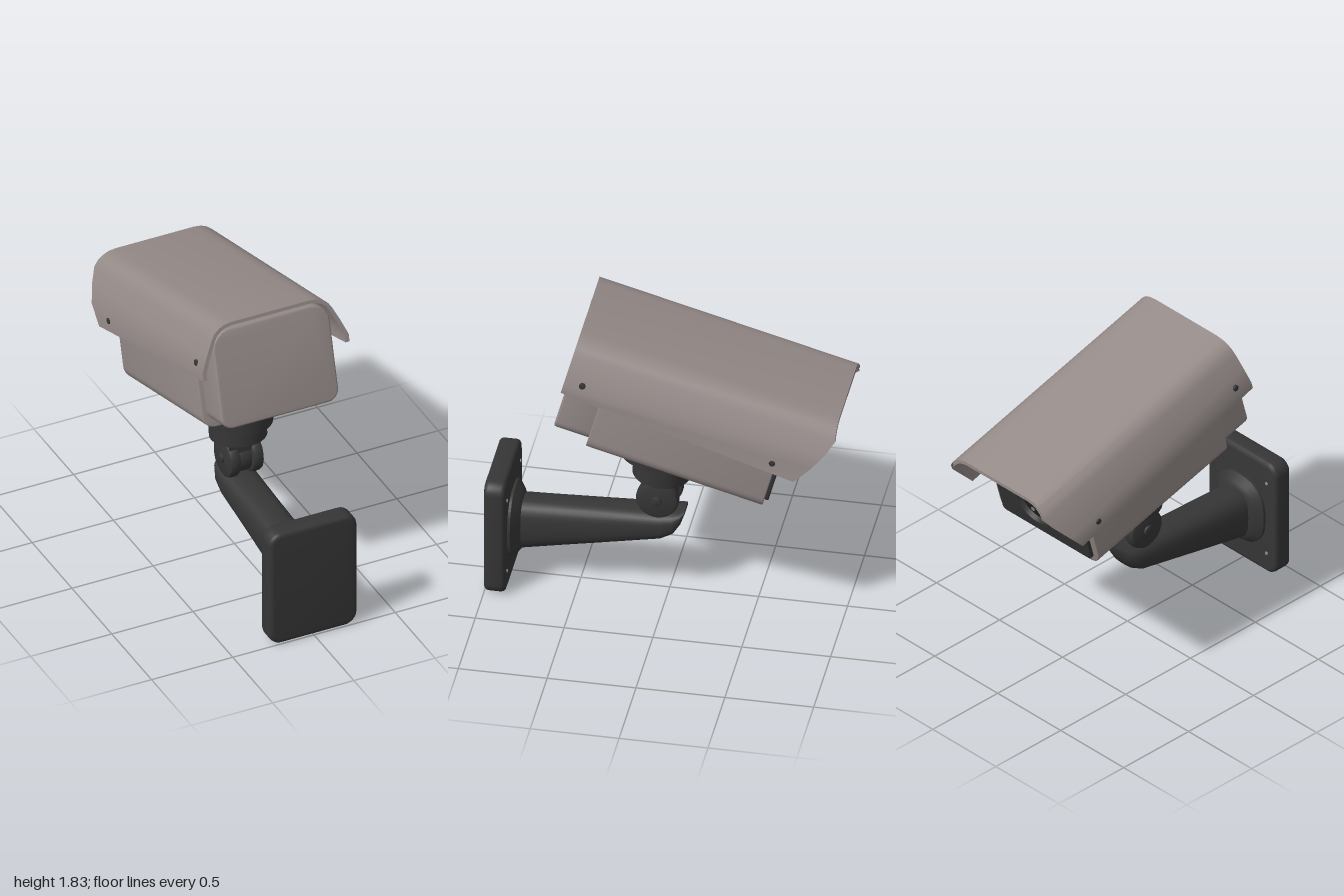
import * as THREE from 'three';
import { toCreasedNormals } from 'three/addons/utils/BufferGeometryUtils.js';

const mat = (name, color) => Object.assign(new THREE.MeshStandardMaterial({ color }), { name });

export function createModel() {
  const shell = mat('warm grey shell', 0x958b89);
  const dark = mat('charcoal', 0x363636);
  const glass = mat('black glass', 0x222224);
  const steel = mat('steel', 0x8a8a8a);
  const model = new THREE.Group();
  model.name = 'securityCamera';

  const add = (parent, name, geo, material, x = 0, y = 0, z = 0) => {
    const mesh = new THREE.Mesh(geo, material);
    mesh.name = name;
    mesh.position.set(x, y, z);
    parent.add(mesh);
    return mesh;
  };

  // Outline with separate top and bottom corner radii
  const roundRect = (w, y0, y1, rBottom, rTop) => {
    const s = new THREE.Shape();
    s.moveTo(-w + rBottom, y0);
    s.lineTo(w - rBottom, y0);
    s.absarc(w - rBottom, y0 + rBottom, rBottom, -Math.PI / 2, 0, false);
    s.absarc(w - rTop, y1 - rTop, rTop, 0, Math.PI / 2, false);
    s.absarc(-w + rTop, y1 - rTop, rTop, Math.PI / 2, Math.PI, false);
    s.absarc(-w + rBottom, y0 + rBottom, rBottom, Math.PI, Math.PI * 1.5, false);
    return s;
  };

  // Slab between two depths, with edges eased inside its outline
  const slab = (shape, z0, z1, bevel) => {
    const geo = new THREE.ExtrudeGeometry(shape, {
      depth: z1 - z0 - 2 * bevel, curveSegments: 5, bevelEnabled: bevel > 0,
      bevelThickness: bevel, bevelSize: bevel, bevelOffset: -bevel, bevelSegments: 3,
    });
    geo.translate(0, 0, z0 + bevel);
    return toCreasedNormals(geo, 0.6);
  };

  // Loft along z through stations [z, bottom, top, halfWidth], first station at the back
  const loft = (stations, power) => {
    const n = stations.length - 1;
    const geo = new THREE.CylinderGeometry(1, 1, 1, 28, n).rotateX(Math.PI / 2);
    const p = geo.attributes.position;
    const soft = (v) => Math.sign(v) * Math.abs(v) ** power;
    for (let i = 0; i < p.count; i++) {
      const [z, y0, y1, w] = stations[Math.round((0.5 - p.getZ(i)) * n)];
      p.setXYZ(i, soft(p.getX(i)) * w, (y0 + y1) / 2 + soft(p.getY(i)) * (y1 - y0) / 2, z);
    }
    return toCreasedNormals(geo, 0.7);
  };

  // Turned disc with eased rims, axis along x
  const disc = (r, w, e) => toCreasedNormals(new THREE.LatheGeometry(
    [[0, -w / 2], [r - e, -w / 2], [r - e * 0.3, -w / 2 + e * 0.3], [r, -w / 2 + e],
      [r, w / 2 - e], [r - e * 0.3, w / 2 - e * 0.3], [r - e, w / 2], [0, w / 2]]
      .map(([x, y]) => new THREE.Vector2(x, y)), 32).rotateZ(-Math.PI / 2), 0.6);

  // Wall plate, flange and arm
  add(model, 'wallPlate', slab(roundRect(0.27, 0, 0.73, 0.075, 0.075), 0.88, 1, 0.025), dark);
  add(model, 'armFlange', loft([[0.89, 0.145, 0.57, 0.19], [0.865, 0.145, 0.57, 0.19],
    [0.835, 0.17, 0.53, 0.15], [0.82, 0.185, 0.51, 0.12]], 0.8), dark);
  add(model, 'supportArm', loft([[0.85, 0.185, 0.503, 0.115], [0.4, 0.28, 0.52, 0.11],
    [0.04, 0.36, 0.533, 0.11], [-0.03, 0.4, 0.54, 0.105],
    [-0.07, 0.465, 0.546, 0.09], [-0.092, 0.53, 0.55, 0.06]], 0.7), dark);
  for (const x of [-0.2, 0.2]) for (const y of [0.13, 0.6]) {
    add(model, 'plateScrew', new THREE.CylinderGeometry(0.01, 0.01, 0.008, 12).rotateX(Math.PI / 2),
      steel, x, y, 0.878);
  }

  // Knuckle joint
  const joint = new THREE.Group();
  joint.name = 'knuckleJoint';
  joint.position.set(0, 0.64, 0.055);
  model.add(joint);
  add(joint, 'jointCore', disc(0.1, 0.08, 0.01), dark);
  for (const side of [-1, 1]) {
    add(joint, 'jointCheek', disc(0.12, 0.07, 0.022), dark, side * 0.07);
    add(joint, 'jointBolt', disc(0.03, 0.02, 0.006), dark, side * 0.108);
  }
  add(joint, 'jointNeck', new THREE.BoxGeometry(0.19, 0.14, 0.16), dark, 0, 0.09, 0);

  // Collar and oval base under the housing
  const collar = add(model, 'swivelCollar', new THREE.CylinderGeometry(0.165, 0.162, 0.14, 36),
    dark, 0, 0.835, 0.04);
  collar.rotation.x = -0.09;
  const base = add(model, 'housingBase', new THREE.CylinderGeometry(0.262, 0.242, 0.21, 40),
    dark, 0, 0.988, 0.03);
  base.rotation.x = -0.08;
  base.scale.x = 0.77;

  // Tilted camera head, lens end towards -z
  const head = new THREE.Group();
  head.name = 'cameraHead';
  head.position.y = 1.2;
  head.rotation.x = -0.265;
  model.add(head);
  add(head, 'housing', slab(roundRect(0.39, -0.18, 0.425, 0.08, 0.14), -0.655, 0.375, 0.006), shell);
  add(head, 'rearCap', slab(roundRect(0.36, -0.137, 0.445, 0.07, 0.11), 0.36, 0.578, 0.012), shell);
  add(head, 'frontPanel', slab(roundRect(0.35, -0.14, 0.385, 0.025, 0.06), -0.678, -0.64, 0.006), dark);

  // Lens
  const lens = new THREE.Group();
  lens.name = 'lens';
  lens.position.set(0, 0.125, -0.675);
  head.add(lens);
  const ring = [[0.15, 0], [0.15, 0.035], [0.142, 0.047], [0.125, 0.047], [0.115, 0.015]]
    .map(([x, y]) => new THREE.Vector2(x, y));
  const rim = add(lens, 'lensRim', toCreasedNormals(new THREE.LatheGeometry(ring, 36).rotateX(-Math.PI / 2), 0.6),
    dark);
  rim.material = dark;
  const dome = new THREE.SphereGeometry(0.118, 32, 10, 0, Math.PI * 2, 0, Math.PI / 2);
  add(lens, 'lensGlass', dome.scale(1, 0.2, 1).rotateX(-Math.PI / 2), glass, 0, 0, -0.014);
  add(lens, 'lensGlint', new THREE.CylinderGeometry(0.014, 0.014, 0.006, 12).rotateX(Math.PI / 2),
    steel, 0.02, -0.045, -0.036);

  // Sun hood: thin arched section, swept to a slanted front edge
  const outer = [[0.45, 0.19], [0.45, 0.235], [0.41, 0.33], [0.372, 0.41], [0.352, 0.442], [0.32, 0.468],
    [0.285, 0.483], [0.24, 0.489]];
  const inner = [[0.24, 0.469], [0.28, 0.463], [0.308, 0.45], [0.335, 0.428], [0.352, 0.4], [0.39, 0.32],
    [0.425, 0.23], [0.425, 0.19]];
  const flip = (pts) => pts.map(([x, y]) => [-x, y]).reverse();
  const outline = [...outer, ...flip(outer), ...flip(inner), ...inner];
  const hood = new THREE.ExtrudeGeometry(
    new THREE.Shape(outline.map(([x, y]) => new THREE.Vector2(x, y))), { depth: 1, bevelEnabled: false });
  const p = hood.attributes.position;
  for (let i = 0; i < p.count; i++) {
    let y = p.getY(i);
    if (p.getZ(i) > 0.5) { p.setZ(i, 0.6); continue; }
    if (y < 0.2) y -= 0.072;
    p.setY(i, y);
    p.setZ(i, y > 0.39 ? -0.93 + (y - 0.39) * 0.25 : -0.93 + (0.39 - y) * 0.565);
  }
  add(head, 'sunHood', toCreasedNormals(hood, 0.6), shell);
  for (const side of [-1, 1]) for (const [x, y, z] of [[0.434, 0.269, 0.498], [0.447, 0.192, -0.632]]) {
    add(head, 'hoodScrew', disc(0.018, 0.02, 0.004), dark, side * x, y, z);
  }

  return model;
}
